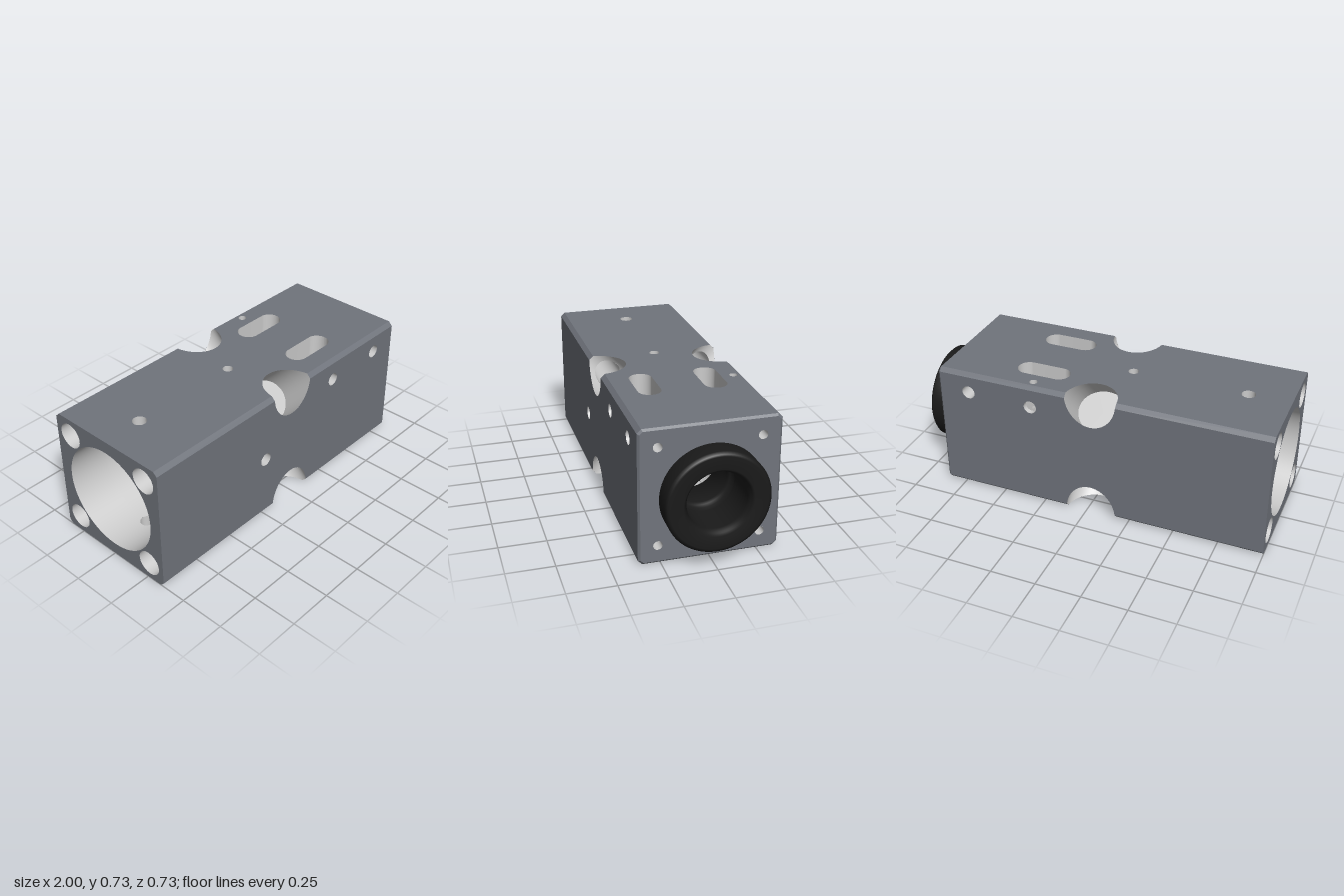
import * as THREE from 'three';

const H = 0.3625, C = 0.022, X0 = -1, X1 = 0.86, EC = 0.011;   // half height, edge chamfer, block ends, end chamfer
const SX = -0.03, SRX = 0.143, SRV = 0.12, SD = 0.244;          // scallop centre, radii and floor distance
const CO = 0.2635, CR = 0.07;                                   // corner bore offset and radius
const R2 = Math.SQRT2, TAU = Math.PI * 2;
const mat = (color, flat = false) =>
  new THREE.MeshStandardMaterial({ color, side: THREE.DoubleSide, flatShading: flat });
const body = mat(0x70747c), bodyFlat = mat(0x70747c, true), cut = mat(0xcccccc), black = mat(0x1a1a1a);

const mesh = (name, geo, m) => {
  const o = new THREE.Mesh(geo, m);
  o.name = name;
  return o;
};

// Surface ruled between two curves a(t), b(t), t = 0..1
function ruled(a, b, n) {
  const pos = [], idx = [];
  for (let i = 0; i <= n; i++) {
    pos.push(...a(i / n), ...b(i / n));
    if (i < n) idx.push(2 * i, 2 * i + 2, 2 * i + 1, 2 * i + 1, 2 * i + 2, 2 * i + 3);
  }
  const g = new THREE.BufferGeometry();
  g.setAttribute('position', new THREE.Float32BufferAttribute(pos, 3));
  g.setIndex(idx);
  g.computeVertexNormals();
  return g;
}

// Point on a round or stadium-shaped hole outline
function rim(h, t, r = h.r) {
  const a = t * TAU, c = Math.cos(a), half = h.half || 0;
  return [h.x + half * Math.sign(Math.round(c * 1e6)) + r * c, h.w + r * Math.sin(a)];
}

function circlePath(x, y, r) {
  return new THREE.Path().absarc(x, y, r, 0, TAU, true);
}

// Long face with holes and scallop cut-outs, built as the top face
function longFace(name, holes, turn) {
  const g = new THREE.Group();
  g.name = name;
  const e = H - C, pts = [], f0 = Math.asin(C / (SRV * R2));
  const scallopEdge = s => {
    for (let i = 0; i <= 40; i++) {
      const f = f0 + (Math.PI - 2 * f0) * i / 40;
      pts.push(new THREE.Vector2(SX - s * SRX * Math.cos(f), s * (H - SRV * R2 * Math.sin(f))));
    }
  };
  pts.push(new THREE.Vector2(X0, e));
  scallopEdge(1);
  pts.push(new THREE.Vector2(X1 - EC, e), new THREE.Vector2(X1 - EC, -e));
  scallopEdge(-1);
  pts.push(new THREE.Vector2(X0, -e));
  const shape = new THREE.Shape(pts);
  for (const h of holes) {
    const p = [];
    for (let i = 0; i < 48; i++) {
      const [x, w] = rim(h, i / 48);
      p.push(new THREE.Vector2(x, -w));
    }
    shape.holes.push(new THREE.Path(p));
    // hole wall, optional step and floor
    const end = h.end || (() => h.y);
    g.add(mesh('holeWall', ruled(t => { const [x, w] = rim(h, t); return [x, H, w]; },
      t => { const [x, w] = rim(h, t); return [x, end(w), w]; }, 48), cut));
    if (h.step !== undefined) {
      const r2 = h.step;
      g.add(mesh('holeFloor', ruled(t => { const [x, w] = rim(h, t); return [x, h.y, w]; },
        t => { const [x, w] = rim(h, t, r2); return [x, h.y, w]; }, 48), h.floor || cut));
    }
    if (h.core) {
      const plug = new THREE.CircleGeometry(h.step, 24).rotateX(-Math.PI / 2);
      g.add(mesh('holeCore', plug.translate(h.x, h.y - 0.02, h.w), black));
    }
  }
  g.add(mesh('plate', new THREE.ShapeGeometry(shape).rotateX(-Math.PI / 2).translate(0, H, 0), body));
  // chamfer along one edge, interrupted by the scallop
  const sw = SRX * Math.cos(f0);
  for (const [a, b] of [[X0, SX - sw], [SX + sw, X1 - EC]])
    g.add(mesh('edgeChamfer', ruled(t => [a + (b - a) * t, H, e], t => [a + (b - a) * t, e, H], 1), body));
  g.rotation.x = turn;
  return g;
}

// Flat-bottomed scallop across a long edge, with the corner bore entering it
function scallop(turn) {
  const g = new THREE.Group();
  g.name = 'edgeScallop';
  const U = CO * R2, N = 144;
  const at = (x, u, v) => [x, (u + v) / R2, (u - v) / R2];
  const side = t => [SX + SRX * Math.cos(t * TAU), SRV * Math.sin(t * TAU)];
  const gap = t => {
    const [x, v] = side(t);
    return x < SX && Math.abs(v) < CR ? Math.sqrt(CR * CR - v * v) : 0;
  };
  const top = v => Math.min(H * R2 - Math.abs(v), (2 * H - C) / R2);
  g.add(mesh('lowerWall', ruled(t => { const [x, v] = side(t); return at(x, SD, v); },
    t => { const [x, v] = side(t); return at(x, U - gap(t), v); }, N), cut));
  g.add(mesh('upperWall', ruled(t => { const [x, v] = side(t); return at(x, Math.min(U + gap(t), top(v)), v); },
    t => { const [x, v] = side(t); return at(x, top(v), v); }, N), cut));
  g.add(mesh('floor', ruled(() => at(SX, SD, 0),
    t => { const [x, v] = side(t); return at(x, SD, v); }, 72), cut));
  // corner bore from the open end, ending at the scallop wall
  const ring = (t, r) => [U + r * Math.cos(t * TAU), r * Math.sin(t * TAU)];
  g.add(mesh('cornerBore', ruled(t => at(X0, ...ring(t, CR)), t => {
    const [u, v] = ring(t, CR);
    return at(SX - SRX * Math.sqrt(1 - (v / SRV) ** 2), u, v);
  }, 48), cut));
  // blind screw hole at the ring end
  g.add(mesh('screwHole', ruled(t => at(X1, ...ring(t, 0.024)), t => at(0.7, ...ring(t, 0.024)), 32), cut));
  g.add(mesh('screwHoleFloor', ruled(() => at(0.7, U, 0), t => at(0.7, ...ring(t, 0.024)), 32), cut));
  g.rotation.x = turn;
  return g;
}

// Lengthwise bore with openings at cx whose half length is gap(z)
function bore(g, r, x0, x1, cx, gap) {
  const p = (x, t) => [x, r * Math.cos(t * TAU), r * Math.sin(t * TAU)];
  const half = t => gap(Math.abs(r * Math.sin(t * TAU)));
  g.add(mesh('mainBore', ruled(t => p(x0, t), t => p(cx - half(t), t), 240), cut));
  g.add(mesh('mainBore', ruled(t => p(cx + half(t), t), t => p(x1, t), 240), cut));
}

// Chamfered square outline, inset by d
function octagon(d) {
  const a = H - d, b = H - C - d * 0.41;
  return [[a, b], [b, a], [-b, a], [-a, b], [-a, -b], [-b, -a], [b, -a], [a, -b]];
}

function endPlate(name, x, inset, r, cornerR) {
  const s = new THREE.Shape(octagon(inset).map(p => new THREE.Vector2(...p)));
  s.holes.push(circlePath(0, 0, r));
  for (const a of [-CO, CO]) for (const b of [-CO, CO]) s.holes.push(circlePath(a, b, cornerR));
  return mesh(name, new THREE.ShapeGeometry(s, 48).rotateY(Math.PI / 2).translate(x, 0, 0), body);
}

export function createModel() {
  const model = new THREE.Group();
  model.name = 'boredBlock';
  const g = new THREE.Group();
  g.name = 'block';
  g.position.y = H;
  model.add(g);

  const BR = 0.294, IR = 0.24;
  const clip = r => w => Math.sqrt(Math.max(0, r * r - w * w));
  const slot = w => ({ x: 0.3125, w, r: 0.0615, half: 0.0885, end: clip(IR) });
  const vertical = s => [
    slot(0.176), slot(-0.176),
    { x: -0.77, w: 0, r: 0.037, end: clip(BR) },
    { x: -0.135, w: 0, r: 0.028, y: 0.26, step: 0 },
    { x: 0.3125, w: -0.305 * s, r: 0.022, y: s > 0 ? 0.273 : -0.2 },
  ];
  const lateral = (s, depth) => [
    { x: 0.3125, w: -0.2375 * s, r: 0.036, y: depth, step: 0.021 },
    { x: 0.68, w: -0.2475 * s, r: 0.037, y: 0.2, step: 0, floor: black },
  ];
  g.add(longFace('topFace', vertical(1), 0));
  g.add(longFace('bottomFace', vertical(-1), Math.PI));
  g.add(longFace('frontFace',
    [...lateral(1, 0.2), { x: -0.235, w: 0, r: 0.037, y: 0.27, step: 0.015, core: true }], Math.PI / 2));
  g.add(longFace('backFace', lateral(-1, 0.335), -Math.PI / 2));
  for (let i = 0; i < 4; i++) g.add(scallop(i * Math.PI / 2));

  // ends
  g.add(endPlate('openEnd', X0, 0, BR, CR));
  g.add(endPlate('ringEnd', X1, EC, 0.23, 0.024));
  const loop = (x, d) => t => {
    const [z, y] = octagon(d)[Math.round(t * 8) % 8];
    return [x, y, z];
  };
  g.add(mesh('endChamfer', ruled(loop(X1 - EC, 0), loop(X1, EC), 8), bodyFlat));

  // bores
  bore(g, BR, X0, -0.66, -0.77, z => (z < 0.037 ? Math.sqrt(0.037 ** 2 - z * z) : 0));
  bore(g, IR, -0.66, X1, 0.3125, z => {
    const d = Math.abs(z - 0.176);
    return d < 0.0615 ? 0.0885 + Math.sqrt(0.0615 ** 2 - d * d) : z < 0.1145 ? 0.024 : 0;
  });
  const stop = new THREE.RingGeometry(0.135, BR, 64).rotateY(Math.PI / 2).translate(-0.66, 0, 0);
  g.add(mesh('innerStop', stop, black));

  // threaded mounting ring: [radius, x] profile turned about the x axis
  const prof = [[0.225, 0.55], [0.225, 0.878], [0.255, 0.878], [0.266, 0.888], [0.267, 0.985], [0.255, 0.998],
    [0.245, 1], [0.178, 1], [0.166, 0.99]];
  for (let i = 0; i < 8; i++) prof.push([0.166, 0.975 - i * 0.03], [0.152, 0.96 - i * 0.03]);
  prof.push([0.152, 0.72], [0.135, 0.72], [0.135, 0.55], [0.225, 0.55]);
  const ringPts = [];
  for (const [r, x] of prof) ringPts.push(new THREE.Vector2(r, x));
  g.add(mesh('mountingRing', new THREE.LatheGeometry(ringPts, 96).rotateZ(-Math.PI / 2), black));
  const neck = new THREE.CylinderGeometry(0.24, 0.24, 0.02, 64, 1, true).rotateZ(Math.PI / 2);
  g.add(mesh('ringNeck', neck.translate(0.869, 0, 0), cut));
  return model;
}
